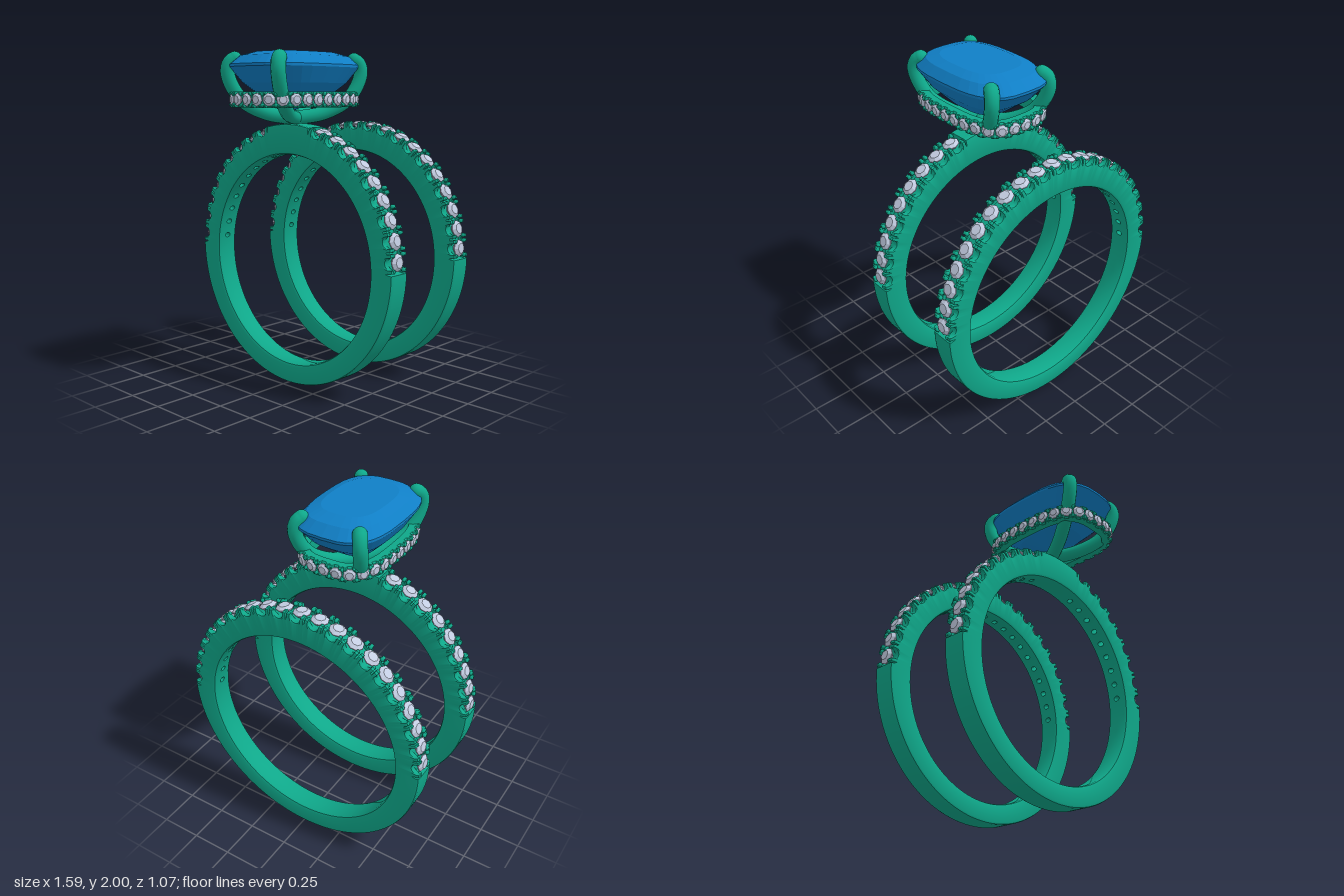
import * as THREE from 'three';
import { mergeGeometries, toCreasedNormals } from 'three/addons/utils/BufferGeometryUtils.js';

const metal = new THREE.MeshStandardMaterial({ color: 0x0fa88a });
const blue = new THREE.MeshStandardMaterial({ color: 0x107fc6, flatShading: true });
const pale = new THREE.MeshStandardMaterial({ color: 0xc3cde2, flatShading: true });

const CY = 0.7925, R = 0.79;          // outer circle of the bands
const STEP = Math.PI / 21;            // angle between band stones
const HEAD_Z = 0.135, BACK_Z = -0.46; // band positions

// Skin closed cross-section loops, row after row
function loft(rows, closed) {
  const n = rows[0].length, m = rows.length, idx = [];
  for (let i = 0; i < (closed ? m : m - 1); i++) {
    for (let j = 0; j < n; j++) {
      const a = i * n + j, b = i * n + (j + 1) % n;
      const k = ((i + 1) % m) * n, c = k + j, d = k + (j + 1) % n;
      idx.push(a, b, c, b, d, c);
    }
  }
  const g = new THREE.BufferGeometry().setFromPoints(rows.flat());
  g.setIndex(idx);
  return g;
}

function mesh(name, geometry, material) {
  const m = new THREE.Mesh(geometry, material);
  m.name = name;
  return m;
}

// Round cut stone, axis along +y, girdle at y = 0
function stone(r) {
  const p = [[0, -0.9], [1, -0.08], [1, 0.04], [0.6, 0.34], [0, 0.34]];
  return new THREE.LatheGeometry(p.map(([x, y]) => new THREE.Vector2(x * r, y * r)), 8);
}

function placed(geometry, pos, normal) {
  const q = new THREE.Quaternion().setFromUnitVectors(new THREE.Vector3(0, 1, 0), normal);
  return geometry.clone().applyQuaternion(q).translate(pos.x, pos.y, pos.z);
}

// Ring with scalloped rails, a stone channel and round holes behind each stone
function band(name, z0, hasStone) {
  const group = new THREE.Group();
  group.name = name;
  const stones = [];
  for (let k = -10; k <= 10; k++) if (hasStone(k)) stones.push(Math.PI / 2 + k * STEP);

  // Angles: dense steps at each stone, even steps elsewhere
  const side = [0.006, 0.012, 0.017, 0.02, 0.0201, 0.025, 0.03, 0.033, 0.0349, 0.0352, 0.054, 0.0543, 0.0588];
  const offsets = [0, ...side, ...side.map(s => -s)];
  const samples = [];
  stones.forEach(t => offsets.forEach(s => samples.push({ t: t + s / R, s: Math.abs(s) })));
  for (let i = 0; i < 720; i++) {
    const t = -Math.PI / 2 + i * Math.PI / 360;
    if (stones.every(c => Math.abs(t - c) > STEP / 2 + 0.0005)) samples.push({ t, s: 1 });
  }
  samples.sort((a, b) => a.t - b.t);

  const rows = samples.map(({ t, s }) => {
    const set = s < 0.06;
    let rail = R;
    if (s < 0.035) rail -= 0.01 + Math.sqrt(0.035 ** 2 - s * s);
    else if (set && s > 0.054) rail -= 0.028;
    const floor = set ? 0.745 : R;
    // Inner circle sits slightly lower, so the band is thicker on top
    const d = -0.0275, c = d * Math.cos(t);
    const inner = d * Math.sin(t) + Math.sqrt(0.637 ** 2 - c * c);
    const h = s < 0.0201 ? Math.sqrt(Math.max(0, 0.02 ** 2 - s * s)) : 0;
    const hole = h > 0 ? 0.73 : inner;
    const outerHalf = [[rail - 0.015, 0.0725], [rail - 0.004, 0.068], [rail, 0.058], [rail, 0.042], [Math.min(floor, R), 0.042]];
    const innerHalf = [[hole, h], [inner, h], [inner, 0.052], [inner + 0.006, 0.066], [inner + 0.02, 0.0725]];
    const flip = a => a.map(([r, z]) => [r, -z]).reverse();
    return [...outerHalf, ...flip(outerHalf), ...flip(innerHalf), ...innerHalf]
      .map(([r, z]) => new THREE.Vector3(r * Math.cos(t), CY + r * Math.sin(t), z));
  });
  group.add(mesh('bandMetal', toCreasedNormals(loft(rows, true), 0.6), metal));

  // Stones and their holding beads
  const gem = stone(0.051), bead = new THREE.SphereGeometry(0.013, 8, 6);
  const gems = [], beads = [];
  const at = (t, r, z) => new THREE.Vector3(r * Math.cos(t), CY + r * Math.sin(t), z);
  for (const t of stones) {
    gems.push(placed(gem, at(t, 0.775, 0), new THREE.Vector3(Math.cos(t), Math.sin(t), 0)));
    for (const s of [-0.044, 0.044]) for (const z of [-0.044, 0.044]) {
      const p = at(t + s / R, 0.782, z);
      beads.push(bead.clone().translate(p.x, p.y, p.z));
    }
  }
  group.add(mesh('bandStones', mergeGeometries(gems), pale));
  group.add(mesh('bandBeads', mergeGeometries(beads), metal));
  group.position.z = z0;
  return group;
}

// Cushion outline shared by the large gem and the halo
function cushion(phi, a, b, y) {
  const f = v => Math.sign(v) * Math.abs(v) ** (2 / 3);
  return new THREE.Vector3(a * f(Math.cos(phi)), y, b * f(Math.sin(phi)));
}

function centreGem() {
  const levels = [[0, 2], [0.62, 1.998], [0.84, 1.975], [1, 1.925], [1, 1.91], [0.8, 1.82], [0.5, 1.735], [0, 1.665]];
  const rows = levels.map(([k, y]) => Array.from({ length: 32 }, (_, i) =>
    cushion(i / 32 * Math.PI * 2, 0.275 * k, 0.397 * k, y)));
  return mesh('centreGem', loft(rows, false).toNonIndexed(), blue);
}

function halo() {
  const group = new THREE.Group();
  group.name = 'halo';
  const N = 28, PER = 12, Y = 1.725;
  const path = new THREE.CatmullRomCurve3(
    Array.from({ length: 64 }, (_, i) => cushion(i / 64 * Math.PI * 2, 0.272, 0.396, Y)), true);
  path.arcLengthDivisions = 800;
  const frame = u => {
    const t = path.getTangentAt(u % 1);
    return { p: path.getPointAt(u % 1), n: new THREE.Vector3(t.z, 0, -t.x).normalize() };
  };
  const rows = [];
  for (let i = 0; i < N * PER; i++) {
    const { p, n } = frame(i / (N * PER));
    const k = Math.min(i % PER, PER - i % PER);      // steps from nearest stone
    const o = k < 3 ? -0.016 : k === 6 ? -0.012 : 0; // scalloped rails
    const half = [[-0.03, 0.026], [o, 0.028], [o, 0.036], [o - 0.008, 0.045], [-0.065, 0.042]];
    const loop = [...half.map(([a, b]) => [a, -b]).reverse(), ...half];
    rows.push(loop.map(([a, b]) => p.clone().addScaledVector(n, a).add(new THREE.Vector3(0, b, 0))));
  }
  group.add(mesh('haloMetal', toCreasedNormals(loft(rows, true), 0.6), metal));

  const gem = stone(0.037), bead = new THREE.SphereGeometry(0.012, 8, 6);
  const gems = [], beads = [];
  for (let i = 0; i < N; i++) {
    const a = frame(i / N), b = frame((i + 0.5) / N);
    gems.push(placed(gem, a.p.clone().addScaledVector(a.n, -0.01), a.n));
    for (const y of [-0.03, 0.03]) {
      const q = b.p.clone().addScaledVector(b.n, -0.006);
      beads.push(bead.clone().translate(q.x, q.y + y, q.z));
    }
  }
  group.add(mesh('haloStones', mergeGeometries(gems), pale));
  group.add(mesh('haloBeads', mergeGeometries(beads), metal));
  return group;
}

// Four claws rising from one foot and curling over the gem corners
function claws() {
  const group = new THREE.Group();
  group.name = 'claws';
  const pts = [[0, 1.615, 0], [0.09, 1.645, 0.15], [0.165, 1.715, 0.265], [0.2, 1.81, 0.325],
    [0.21, 1.89, 0.345], [0.2, 1.94, 0.332], [0.185, 1.957, 0.31]];
  for (const sx of [-1, 1]) for (const sz of [-1, 1]) {
    const v = pts.map(([x, y, z]) => new THREE.Vector3(x * sx, y, z * sz));
    const claw = new THREE.Group();
    claw.name = 'claw';
    claw.add(mesh('clawStem', new THREE.TubeGeometry(new THREE.CatmullRomCurve3(v), 36, 0.042, 14), metal));
    const tip = mesh('clawTip', new THREE.SphereGeometry(0.042, 16, 12), metal);
    tip.position.copy(v[v.length - 1]);
    claw.add(tip);
    group.add(claw);
  }
  const foot = mesh('clawFoot', new THREE.SphereGeometry(0.044, 16, 12), metal);
  foot.position.y = 1.613;
  group.add(foot);
  return group;
}

export function createModel() {
  const model = new THREE.Group();
  model.name = 'ringSet';
  const head = new THREE.Group();
  head.name = 'head';
  head.add(centreGem(), halo(), claws());
  head.position.z = HEAD_Z;
  model.add(
    band('mainBand', HEAD_Z, k => Math.abs(k) > 1),
    band('matchingBand', BACK_Z, () => true),
    head
  );
  return model;
}
